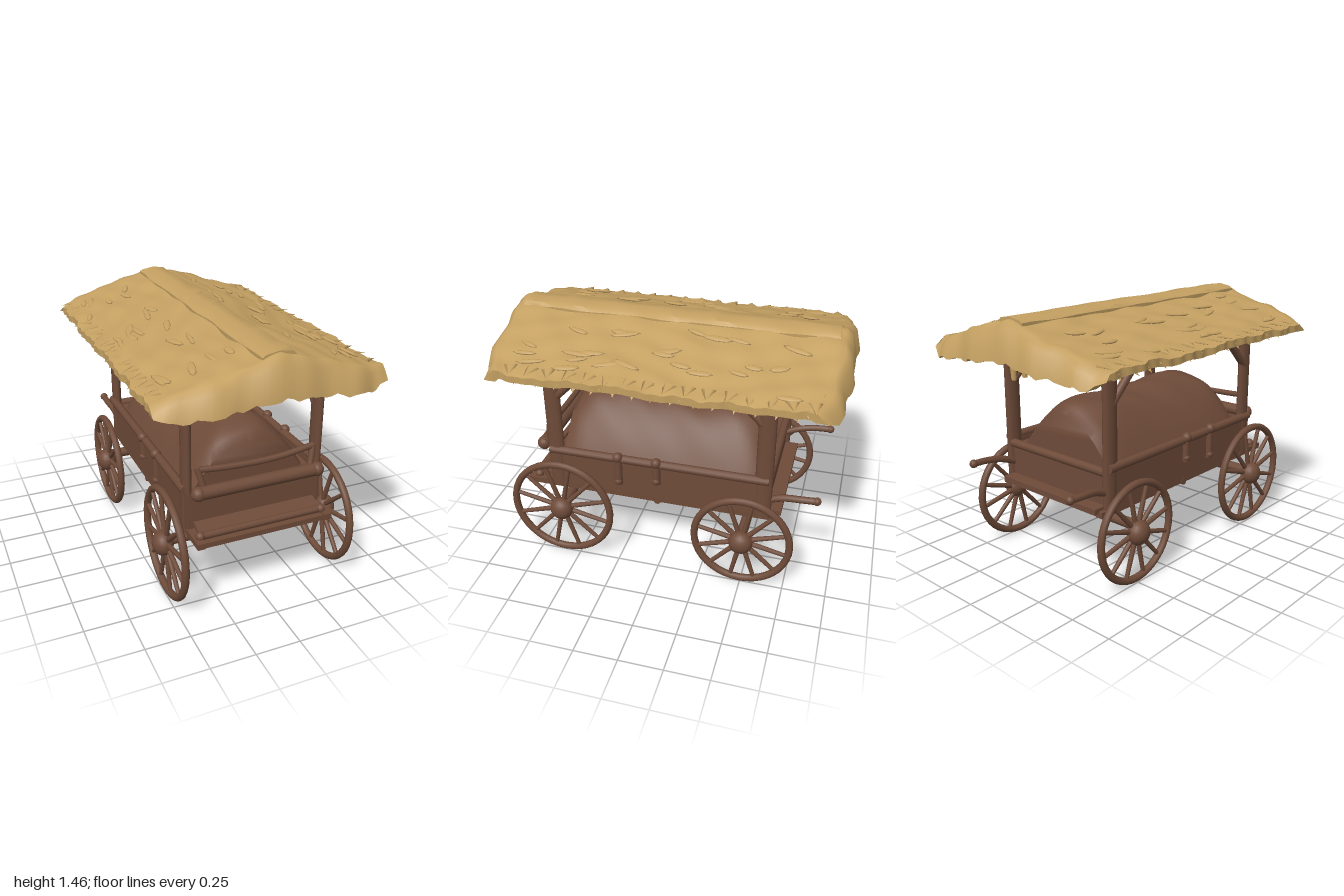
import * as THREE from 'three';
import { mergeGeometries, toCreasedNormals } from 'three/addons/utils/BufferGeometryUtils.js';

const V = (x, y, z) => new THREE.Vector3(x, y, z);

// gentle repeatable unevenness, about -1..1
const wob = (a, b) => 0.6 * Math.sin(a * 11 + 1.7 * Math.sin(b * 7)) + 0.4 * Math.sin(b * 23 + a * 17);

let seed = 7;
const rnd = () => (seed = (seed * 16807) % 2147483647) / 2147483647;

// skin through closed rings running along +z (ring order: +x over the top), capped at both ends
function loft(rings, crease = 0.7) {
  const n = rings[0].length, last = (rings.length - 1) * n, pos = [], idx = [];
  rings.flat().forEach(p => pos.push(p.x, p.y, p.z));
  for (let i = 0; i < rings.length - 1; i++) {
    for (let j = 0; j < n; j++) {
      const a = i * n + j, b = i * n + (j + 1) % n, c = a + n, d = b + n;
      idx.push(a, c, b, b, c, d);
    }
  }
  // caps bridge each point to its partner on the other side of the ring
  for (let j = 0; j < n / 2 - 1; j++) {
    const a = j, b = j + 1, c = n - 1 - j, d = n - 2 - j;
    idx.push(a, b, c, b, d, c);
    idx.push(last + a, last + c, last + b, last + b, last + c, last + d);
  }
  const g = new THREE.BufferGeometry();
  g.setAttribute('position', new THREE.Float32BufferAttribute(pos, 3));
  g.setIndex(idx);
  return toCreasedNormals(g, crease);
}

// height of the thatch at a given distance from the ridge
const roofY = x => 1.45 - 0.285 * Math.abs(x);

export function createModel() {
  const root = new THREE.Group();
  const wood = new THREE.MeshStandardMaterial({ color: 0x6e4b39 });
  wood.name = 'brown wood';
  const straw = new THREE.MeshStandardMaterial({ color: 0xc4a062 });
  straw.name = 'straw';

  const add = (name, geo, mat = wood, parent = root) => {
    const m = new THREE.Mesh(geo, mat);
    m.name = name;
    parent.add(m);
    return m;
  };
  const box = (name, w, h, d, x, y, z) => {
    const m = add(name, new THREE.BoxGeometry(w, h, d));
    m.position.set(x, y, z);
    return m;
  };
  // round pole between two points
  const pole = (name, a, b, r, mat = wood, r2 = r, parent = root) => {
    const m = add(name, new THREE.CylinderGeometry(r2, r, a.distanceTo(b), 12), mat, parent);
    m.position.copy(a).lerp(b, 0.5);
    m.quaternion.setFromUnitVectors(V(0, 1, 0), b.clone().sub(a).normalize());
    return m;
  };
  const ball = (name, r, x, y, z) => {
    const m = add(name, new THREE.SphereGeometry(r, 14, 10));
    m.position.set(x, y, z);
    return m;
  };
  const tube = (name, pts, r, mat = wood) =>
    add(name, new THREE.TubeGeometry(new THREE.CatmullRomCurve3(pts), 20, r, 8), mat);

  // wheels and axles
  for (const [z, r, label] of [[0.597, 0.322, 'front'], [-0.495, 0.298, 'rear']]) {
    pole(label + 'Axle', V(-0.5, 0.333, z), V(0.5, 0.333, z), 0.03);
    for (const s of [-1, 1]) {
      const wheel = new THREE.Group();
      wheel.name = label + (s > 0 ? 'LeftWheel' : 'RightWheel');
      wheel.position.set(s * 0.488 + 0.003, r, z);
      root.add(wheel);
      add('rim', new THREE.TorusGeometry(r - 0.021, 0.021, 10, 40).rotateY(Math.PI / 2), wood, wheel);
      add('hub', new THREE.SphereGeometry(0.07, 18, 12).scale(0.85, 1, 1), wood, wheel).position.x = s * 0.015;
      for (let i = 0; i < 12; i++) {
        const a = (i + 0.4) * Math.PI / 6, dir = V(0, Math.sin(a), Math.cos(a));
        pole('spoke', dir.clone().multiplyScalar(0.04), dir.clone().multiplyScalar(r - 0.025), 0.015, wood, 0.012, wheel);
      }
    }
  }

  // cart bed
  box('floor', 0.76, 0.03, 1.5, 0, 0.415, 0.09);
  box('frontWall', 0.78, 0.24, 0.03, 0, 0.53, 0.68);
  box('backWall', 0.78, 0.22, 0.03, 0, 0.53, -0.6);
  box('bedFill', 0.74, 0.03, 1.26, 0, 0.62, 0.04);
  box('frontStep', 0.72, 0.02, 0.13, 0, 0.455, 0.745).rotation.x = 0.25;
  pole('frontLip', V(-0.37, 0.445, 0.79), V(0.37, 0.445, 0.79), 0.02);
  box('backStep', 0.74, 0.03, 0.1, 0, 0.44, -0.645);
  pole('floorCrossbar', V(-0.4, 0.41, 0.03), V(0.4, 0.41, 0.03), 0.022);
  pole('frontRail', V(-0.365, 0.67, 0.74), V(0.37, 0.67, 0.74), 0.037);
  pole('backRail', V(-0.38, 0.64, -0.61), V(0.38, 0.64, -0.61), 0.025);
  tube('frontUpperRail', [V(-0.34, 0.79, 0.7), V(-0.2, 0.78, 0.71), V(0.1, 0.775, 0.71), V(0.34, 0.8, 0.7)], 0.018);
  for (const s of [-1, 1]) {
    box('sideWall', 0.03, 0.22, 1.3, s * 0.388, 0.55, 0.04);
    box('sideSill', 0.045, 0.035, 1.52, s * 0.375, 0.42, 0.09);
    pole('sideRail', V(s * 0.4, 0.67, -0.62), V(s * 0.4, 0.67, 0.68), 0.025);
    for (const z of [0.26, 0.03]) {
      const h = z > 0.1 ? 0.5 : 0.54;
      pole('sideStake', V(s * 0.405, h, z), V(s * 0.405, 0.7, z), 0.024);
      ball('stakeKnob', 0.03, s * 0.412, 0.685, z);
      ball('stakeFoot', 0.025, s * 0.41, h + 0.02, z);
    }
    ball('lipKnob', 0.027, s * 0.36, 0.445, 0.79);
    ball('frontRailKnob', 0.04, s * 0.35, 0.67, 0.742);
    pole('railStrut', V(s * 0.31, 0.67, 0.73), V(s * 0.34, 0.8, 0.7), 0.018);
    tube('pullHandle', [V(s * 0.37, 0.5, -0.55), V(s * 0.38, 0.56, -0.7), V(s * 0.39, 0.575, -0.8), V(s * 0.39, 0.58, -0.89)], 0.02);
    ball('handleGrip', 0.024, s * 0.39, 0.58, -0.89);
  }

  // covered load: humped cross-section with soft lumps
  const load = [];
  for (let i = 0; i <= 28; i++) {
    const t = i / 28, z = -0.55 + 1.17 * t, ring = [];
    const end = Math.pow(Math.abs(2 * t - 1), 10), lump = -0.008 * Math.cos(z * 8.5);
    for (let j = 0; j <= 24; j++) {
      const u = j / 12 - 1;
      const hump = 1 - Math.pow(Math.abs(u), 2.1);
      ring.push(V(u * (0.37 - 0.03 * end), 0.61 + hump * (0.325 - 0.07 * end + lump + 0.012 * wob(u * 0.5, z)), z));
    }
    load.push(ring);
  }
  add('coveredLoad', loft(load, 1));

  // corner posts with straw-coloured heads and braces
  for (const s of [-1, 1]) {
    for (const [z, d] of [[0.645, 1], [-0.59, -1]]) {
      const post = pole('cornerPost', V(s * 0.385 + 0.003, 0.42, z), V(s * 0.385 + 0.003, 1.19, z), 0.05);
      post.scale.x = 0.52;
      const head = pole('postHead', V(s * 0.385 + 0.003, 1.19, z), V(s * 0.385 + 0.003, 1.3, z), 0.047, straw);
      head.scale.x = 0.6;
      // each brace leans inward, changing colour at the eave line
      for (const [dx, dz, y] of [[-s, 0, 1.08], [0, -d, 1.0]]) {
        const p = t => V(s * 0.385 + dx * t, y + t, z + dz * t), mid = 1.18 - y;
        pole('brace', p(0), p(mid), 0.024);
        pole('braceTop', p(mid), p(mid + 0.08), 0.024, straw);
      }
    }
    // roof frame under the thatch
    pole('eaveBeam', V(s * 0.39, 1.25, -0.9), V(s * 0.39, 1.25, 0.9), 0.03, straw);
  }
  pole('ridgeBeam', V(0, 1.375, -0.9), V(0, 1.375, 0.9), 0.025, straw);
  for (let i = 0; i < 7; i++) {
    const z = -0.8 + i * 0.267;
    tube('rafter', [-0.56, -0.3, 0, 0.3, 0.56].map(x => V(x, roofY(x) - 0.07, z)), 0.022, straw);
  }

  // thatch: thin sheet, drooping near the eaves and thickening into a ragged fringe at both ends
  const stations = [-0.985, -0.95, -0.91, -0.9];
  for (let i = 1; i < 72; i++) stations.push(-0.9 + 1.8 * i / 72);
  stations.push(0.9, 0.91, 0.95, 0.985);
  const thatch = stations.map(z => {
    const ring = [], isEnd = Math.abs(z) > 0.905, tip = Math.abs(z) > 0.96, side = Math.sign(z);
    const point = (u, low) => {
      const a = Math.abs(u), rag = wob(z * 1.6, u > 0 ? 1 : 2) + 0.5 * Math.sin(z * 61 + u);
      const x = u * (0.638 + 0.01 * rag * a);
      // lap: shallow overlapping courses; curl: the outer edge turns back up
      const lap = 0.008 * wob(x, z) + 0.004 * Math.sin(x * 38 + 3 * Math.sin(z * 5));
      const curl = Math.max(0, (a - 0.86) / 0.14);
      let y = roofY(x) + lap - (tip ? 0.03 : 0);
      if (low) {
        y = isEnd
          ? 1.24 - 0.1 * Math.abs(x) + 0.012 * wob(x * 4, z * 0.3) + 0.045 * curl
          : y - 0.05 - 0.05 * a ** 6 * (1 - curl) + 0.01 * curl + 0.006 * rag * a;
      }
      const flare = isEnd ? side * (0.014 * wob(x * 1.5, side) + (low ? 0.01 : -0.02)) : 0;
      return V(x, y, z * (1 - 0.08 * a ** 4) + flare);
    };
    for (let j = 0; j <= 40; j++) ring.push(point(j / 20 - 1, false));
    for (let j = 40; j >= 0; j--) ring.push(point(j / 20 - 1, true));
    return ring;
  });
  add('thatchRoof', loft(thatch, 0.9), straw);

  // ridge cap
  const cap = [];
  for (let i = 0; i <= 30; i++) {
    const z = -0.9 + 1.81 * i / 30, w = 0.095 + 0.008 * wob(z, 3);
    cap.push([-1, -0.8, 0, 0.8, 1, 1, -1].map((u, k) =>
      V(u * w, k > 4 ? 1.4 : [1.432, 1.447, 1.458, 1.447, 1.432][k] + 0.004 * wob(u, z), z)));
  }
  add('ridgeCap', loft(cap), straw);

  // slim wisps lying across the slope, and short blades layered along the eaves
  const wisps = [];
  const lay = (geo, x, z, lift, droop) => {
    const s = Math.sign(x);
    wisps.push(geo.rotateZ(-s * (0.278 + droop)).translate(x, roofY(x) + lift, z));
  };
  for (const s of [-1, 1]) {
    for (let i = 0; i < 24; i++) {
      const wisp = new THREE.SphereGeometry(1, 8, 6)
        .scale(0.014 + rnd() * 0.008, 0.009, 0.05 + rnd() * 0.04)
        .rotateY((rnd() - 0.5) * 0.7);
      lay(wisp, s * (0.16 + rnd() * 0.4), (rnd() - 0.5) * 1.66, 0.004, 0);
    }
    for (let i = 0; i < 48; i++) {
      const blade = new THREE.ConeGeometry(0.022, 0.09, 6)
        .scale(0.4, 1, 1.8).rotateX((rnd() - 0.5) * 0.6).rotateZ(-s * Math.PI / 2);
      const row = i % 3;
      lay(blade, s * 0.602, -0.84 + 1.68 * i / 47, 0.004 - 0.022 * row, 0.25 * row - 0.15);
    }
  }
  add('strawWisps', mergeGeometries(wisps), straw);

  // strands hanging at the back
  for (const [x, y] of [[-0.025, 1.15], [0.045, 1.12], [0.135, 1.09]]) {
    pole('hangingStrand', V(x, 1.36, -0.79), V(x, y, -0.78), 0.028, straw, 0.014);
  }
  return root;
}
